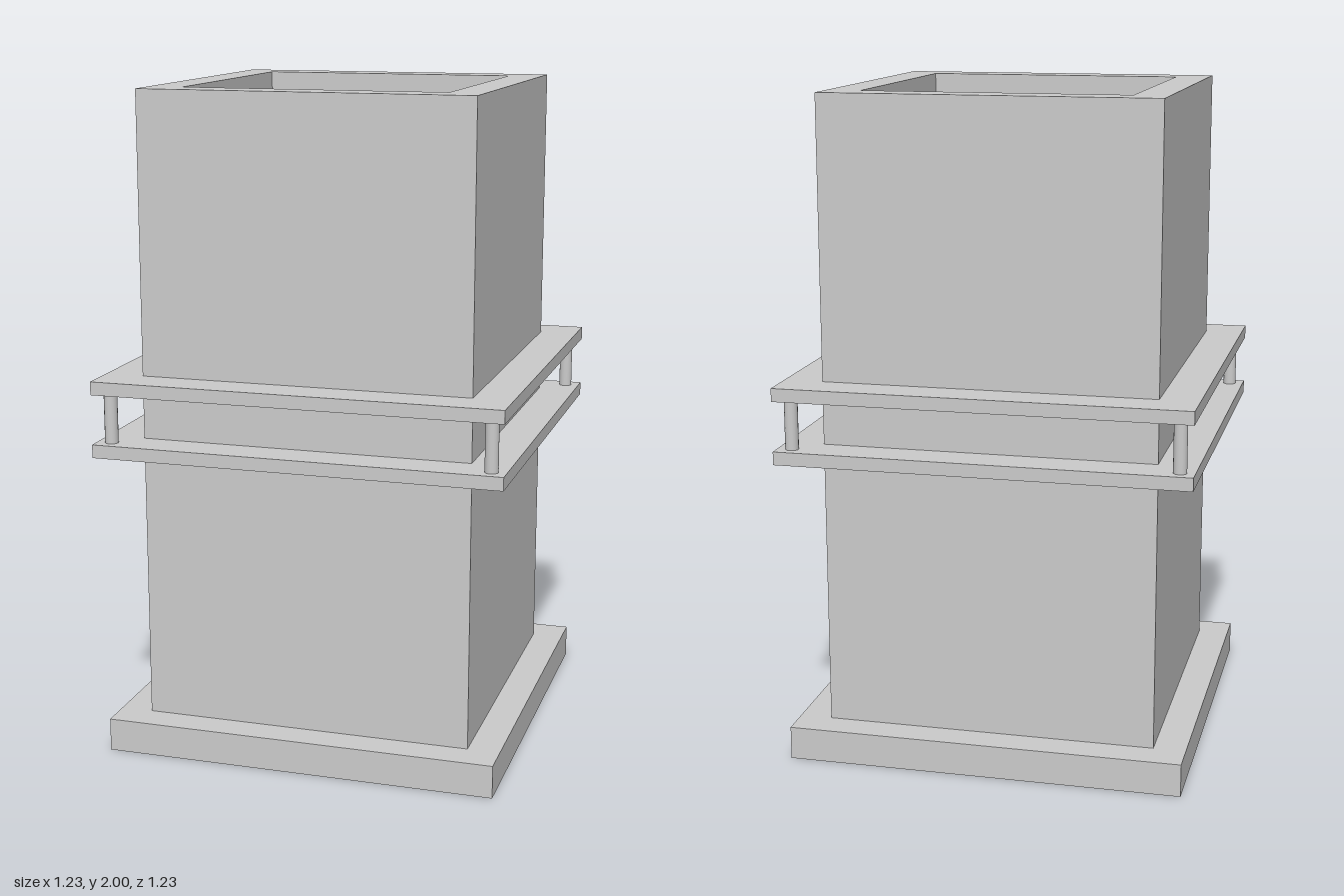
import * as THREE from 'three';

const material = new THREE.MeshStandardMaterial({ color: 0xcccccc });

// Square ring with half-widths outer and inner, standing between y0 and y1
function squareRing(name, outer, inner, y0, y1) {
  const square = (Type, h) =>
    new Type([[-h, -h], [h, -h], [h, h], [-h, h]].map(([x, y]) => new THREE.Vector2(x, y)));
  const shape = square(THREE.Shape, outer);
  shape.holes.push(square(THREE.Path, inner));
  const geometry = new THREE.ExtrudeGeometry(shape, { depth: y1 - y0, bevelEnabled: false });
  geometry.rotateX(-Math.PI / 2).translate(0, y0, 0);
  const mesh = new THREE.Mesh(geometry, material);
  mesh.name = name;
  return mesh;
}

export function createModel() {
  const model = new THREE.Group();
  model.name = 'squareTower';

  // Plinth, hollow shaft and the two ledges around it
  model.add(
    squareRing('base', 0.597, 0.397, 0, 0.1),
    squareRing('shaft', 0.5, 0.397, 0.1, 2),
    squareRing('lowerLedge', 0.617, 0.5, 0.93, 0.97),
    squareRing('upperLedge', 0.617, 0.5, 1.12, 1.16)
  );

  // Round posts joining the ledges at the corners
  const postGeometry = new THREE.CylinderGeometry(0.02, 0.02, 0.15, 16);
  const posts = new THREE.Group();
  posts.name = 'cornerPosts';
  for (const x of [-0.573, 0.573]) {
    for (const z of [-0.573, 0.573]) {
      const post = new THREE.Mesh(postGeometry, material);
      post.name = 'post';
      post.position.set(x, 1.045, z);
      posts.add(post);
    }
  }
  model.add(posts);

  return model;
}
